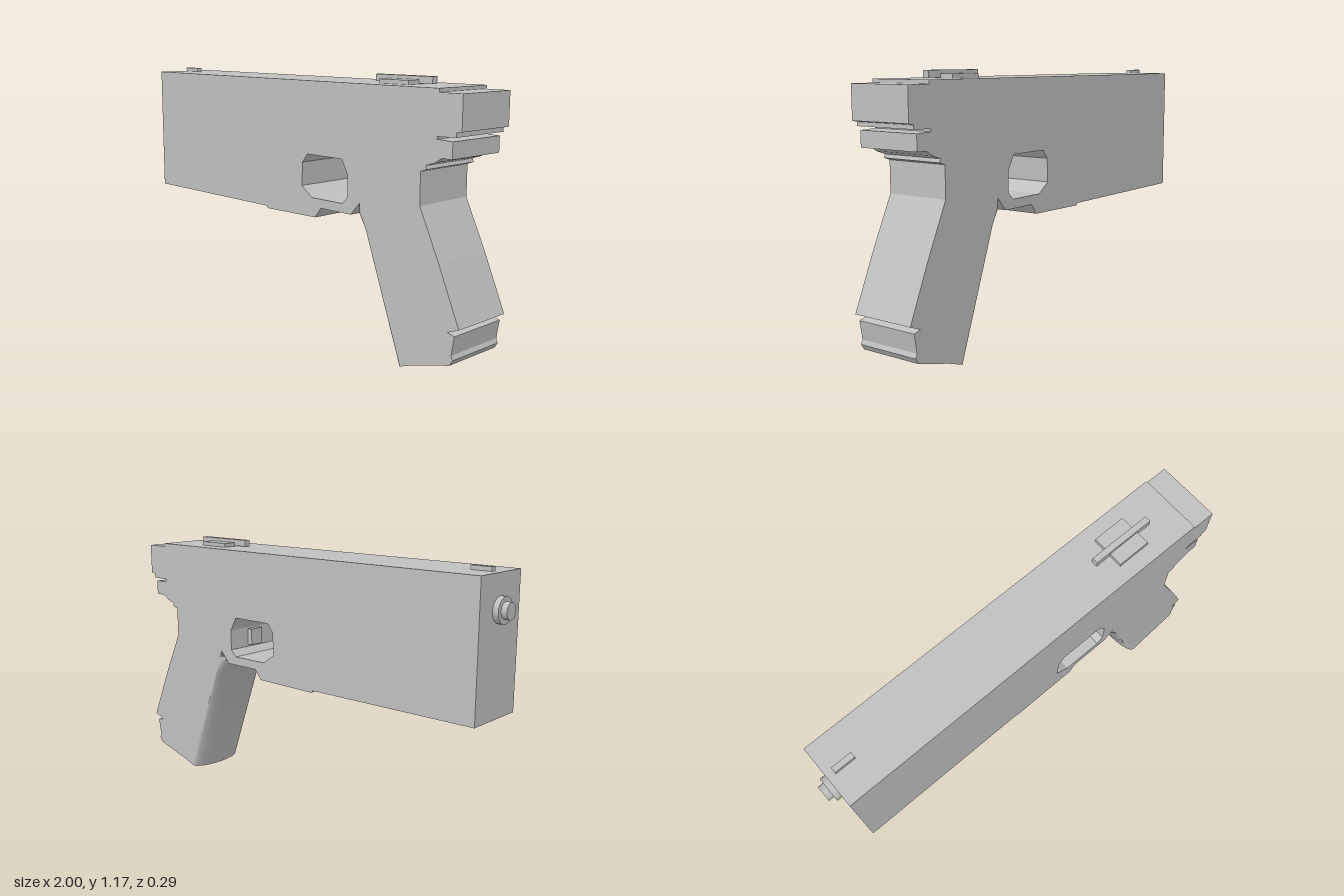
import * as THREE from 'three';
import { toCreasedNormals } from 'three/addons/utils/BufferGeometryUtils.js';

const HALF = 0.147; // half thickness of the body

export function createModel() {
  const group = new THREE.Group();
  const grey = new THREE.MeshStandardMaterial({ color: 0xc0c0c0 });
  grey.name = 'plain grey';

  const add = (name, geometry, x = 0, y = 0, z = 0) => {
    const mesh = new THREE.Mesh(geometry, grey);
    mesh.name = name;
    mesh.position.set(x, y, z);
    group.add(mesh);
    return mesh;
  };
  // Box given by its x and y extents, centred on z = 0
  const box = (name, x0, x1, y0, y1, depth) =>
    add(name, new THREE.BoxGeometry(x1 - x0, y1 - y0, depth), (x0 + x1) / 2, (y0 + y1) / 2);
  const points = (list) => list.map(([x, y]) => new THREE.Vector2(x, y));

  // Body, guard and grip in one slab, with the guard opening cut through
  const outline = new THREE.Shape(points([
    [-0.95, 0.56], [-0.12, 0.56], [-0.11, 0.55], [0.205, 0.555], [0.24, 0.6], [0.42, 0.6],
    [0.47, 0.655], [0.71, 0.015], [0.78, 0.04], [0.955, 0.088], [0.97, 0.112], [0.962, 0.13],
    [0.975, 0.21], [0.94, 0.218], [0.995, 0.24], [0.89, 0.48], [0.79, 0.69], [0.79, 0.825],
    [0.82, 0.835], [0.815, 0.85], [0.86, 0.865], [0.89, 0.885], [0.94, 0.885], [0.94, 0.952],
    [0.865, 0.955], [0.865, 0.965], [0.955, 0.968], [0.955, 0.985], [0.98, 0.99],
    [0.98, 1.13], [0.87, 1.13], [0.87, 1.145], [-0.95, 1.145],
  ]));
  outline.holes.push(new THREE.Path(points([
    [0.155, 0.828], [0.365, 0.828], [0.4, 0.765], [0.4, 0.67], [0.37, 0.64],
    [0.185, 0.64], [0.12, 0.685], [0.125, 0.79],
  ])));
  add('body', new THREE.ExtrudeGeometry(outline, { depth: 2 * HALF, bevelEnabled: false }), 0, 0, -HALF);

  // Rounded front of the grip: half ellipses from edge point to front point
  const rows = [
    [0.47, 0.655, 0.468, 0.65], [0.485, 0.615, 0.42, 0.6],
    [0.507, 0.557, 0.495, 0.525], [0.71, 0.015, 0.67, 0.004],
    [0.71, 0.015, 0.71, 0.015],
  ];
  const steps = 20, position = [], index = [];
  rows.forEach(([bx, by, fx, fy], i) => {
    for (let j = 0; j <= steps; j++) {
      const t = (j / steps - 0.5) * Math.PI, c = Math.cos(t);
      position.push(bx + (fx - bx) * c, by + (fy - by) * c, HALF * Math.sin(t));
      if (i < rows.length - 1 && j < steps) {
        const a = i * (steps + 1) + j, b = a + steps + 1;
        index.push(a, b, a + 1, b, b + 1, a + 1);
      }
    }
  });
  const strap = new THREE.BufferGeometry();
  strap.setAttribute('position', new THREE.Float32BufferAttribute(position, 3));
  strap.setIndex(index);
  add('gripFront', toCreasedNormals(strap.toNonIndexed(), 0.5));

  // Trigger inside the opening
  box('trigger', 0.375, 0.405, 0.68, 0.757, 0.07);

  // Fittings on the top
  box('frontSight', -0.915, -0.82, 1.14, 1.163, 0.026);
  box('rearSightPlate', 0.505, 0.66, 1.14, 1.163, 0.154);
  box('rearSightBar', 0.43, 0.73, 1.148, 1.178, 0.028);

  // Stepped muzzle
  for (const [name, x, radius, length] of [['muzzleCollar', -0.96, 0.055, 0.03], ['muzzleTip', -0.985, 0.035, 0.03]]) {
    add(name, new THREE.CylinderGeometry(radius, radius, length, 24), x, 1, 0).rotation.z = Math.PI / 2;
  }
  return group;
}
